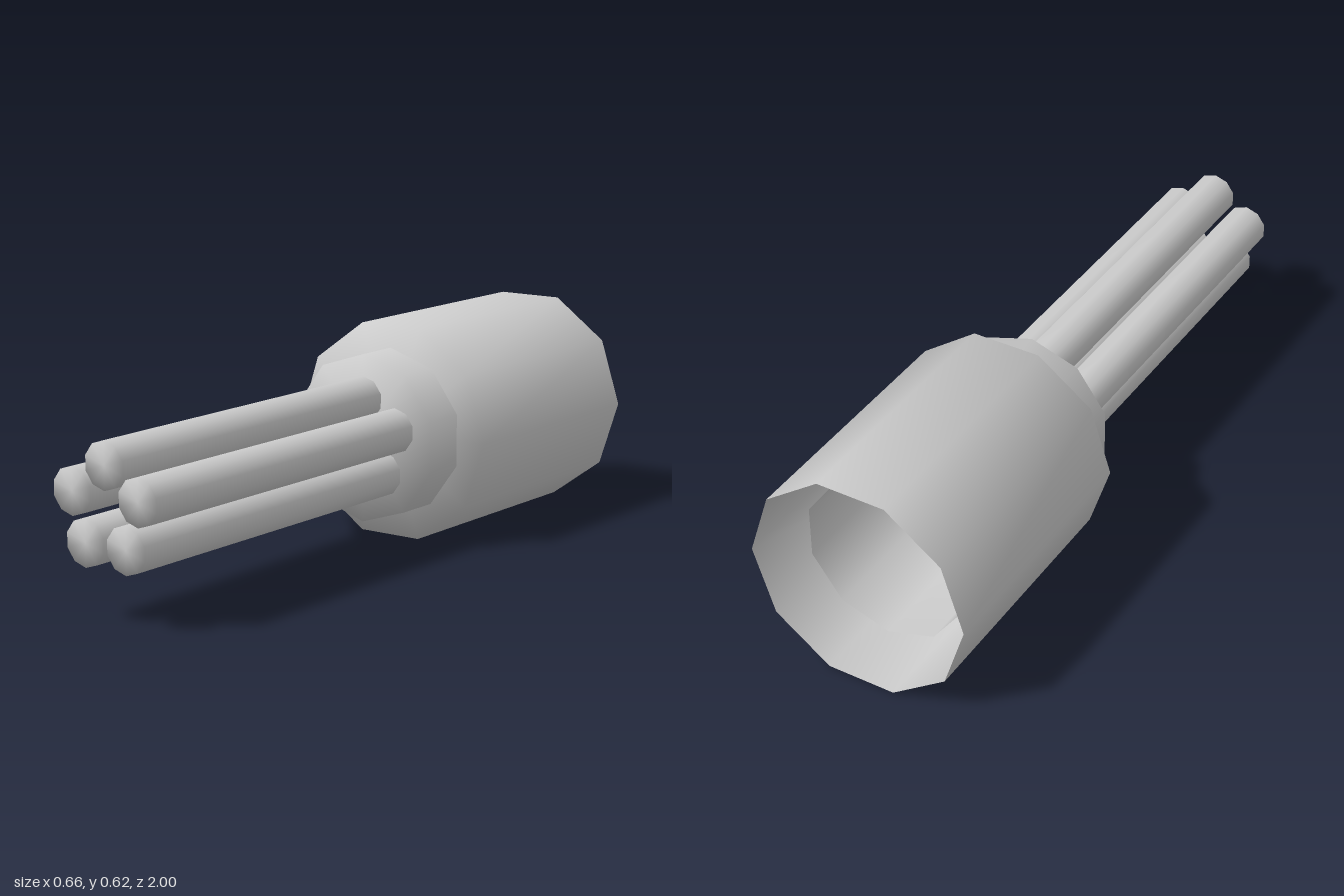
import * as THREE from 'three';

const material = new THREE.MeshStandardMaterial({ color: 0xcccccc, side: THREE.DoubleSide });
const SIDES = 10;
const AXIS_Y = 0.312;

// Ten-sided smooth-shaded tube along z: closed at the front, open at the back.
function cappedTube(name, radius, back, front, x, y, turn = 0) {
  const profile = [
    new THREE.Vector2(radius, back),
    new THREE.Vector2(radius, front),
    new THREE.Vector2(0, front),
  ];
  const geometry = new THREE.LatheGeometry(profile, SIDES, turn);
  geometry.rotateX(Math.PI / 2);
  const mesh = new THREE.Mesh(geometry, material);
  mesh.name = name;
  mesh.position.set(x, y, 0);
  return mesh;
}

export function createModel() {
  const model = new THREE.Group();
  model.name = 'barrelCluster';

  // Wide rear sleeve, corners pointing sideways
  model.add(cappedTube('sleeve', 0.328, -1, -0.245, 0, AXIS_Y, Math.PI / 2));

  // Narrower inner tube, sticking out of the sleeve as a collar
  model.add(cappedTube('collar', 0.247, -0.865, -0.11, 0, AXIS_Y));

  // Ring of five rods
  const rods = new THREE.Group();
  rods.name = 'rods';
  for (let i = 0; i < 5; i++) {
    const a = (i / 5) * Math.PI * 2;
    rods.add(cappedTube('rod' + (i + 1), 0.066, -0.12, 1,
      0.117 * Math.sin(a), AXIS_Y + 0.117 * Math.cos(a)));
  }
  model.add(rods);
  return model;
}
